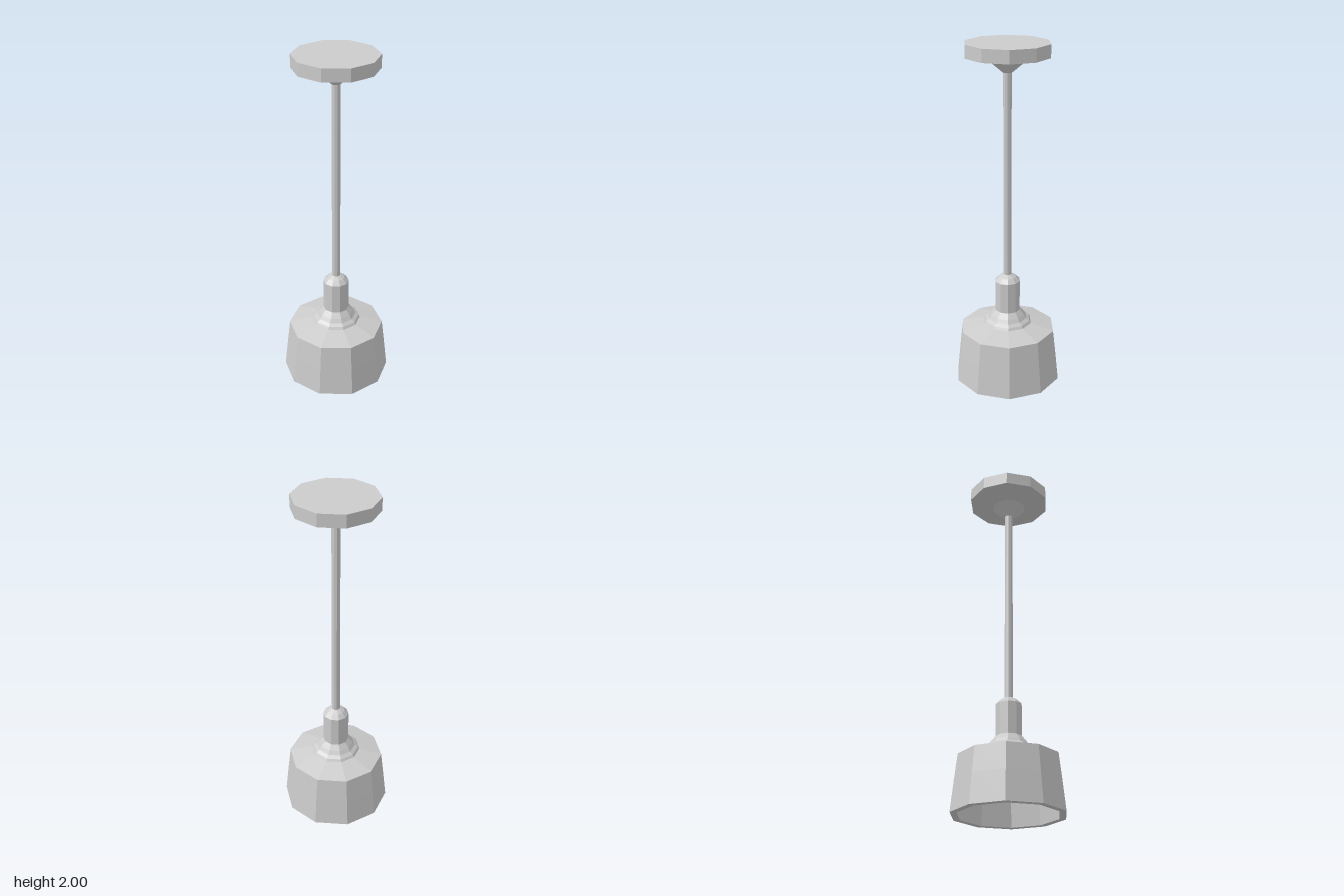
import * as THREE from 'three';

const SIDES = 10;
const material = new THREE.MeshStandardMaterial({ color: 0xcccccc, flatShading: true });

// Ten-sided turned part from [radius, height] pairs, listed upward on the outside
function turned(name, profile) {
  const points = profile.map(([r, y]) => new THREE.Vector2(r, y));
  const mesh = new THREE.Mesh(new THREE.LatheGeometry(points, SIDES), material);
  mesh.name = name;
  return mesh;
}

export function createModel() {
  const lamp = new THREE.Group();
  lamp.name = 'pendantLamp';

  // Hollow shade: inner ceiling, inner wall, rim, outer wall, sloping top
  lamp.add(turned('shade', [
    [0, 0.29], [0.245, 0.29], [0.262, 0.17], [0.278, 0],
    [0.315, 0], [0.297, 0.17], [0.28, 0.315], [0.145, 0.35], [0, 0.35],
  ]));

  // Stepped collar between shade and socket
  lamp.add(turned('collar', [
    [0.145, 0.348], [0.135, 0.364], [0.115, 0.378], [0.1, 0.4], [0.075, 0.43],
  ]));

  // Bulb socket with a rounded cap
  lamp.add(turned('socket', [
    [0.075, 0.43], [0.075, 0.615], [0.052, 0.64], [0.024, 0.655], [0, 0.655],
  ]));

  // Hanging rod
  lamp.add(turned('rod', [[0.024, 0.645], [0.024, 1.86]]));

  // Ceiling canopy with a conical underside
  lamp.add(turned('canopy', [
    [0, 1.84], [0.027, 1.84], [0.1, 1.902], [0.238, 1.927], [0.238, 2], [0, 2],
  ]));

  return lamp;
}
